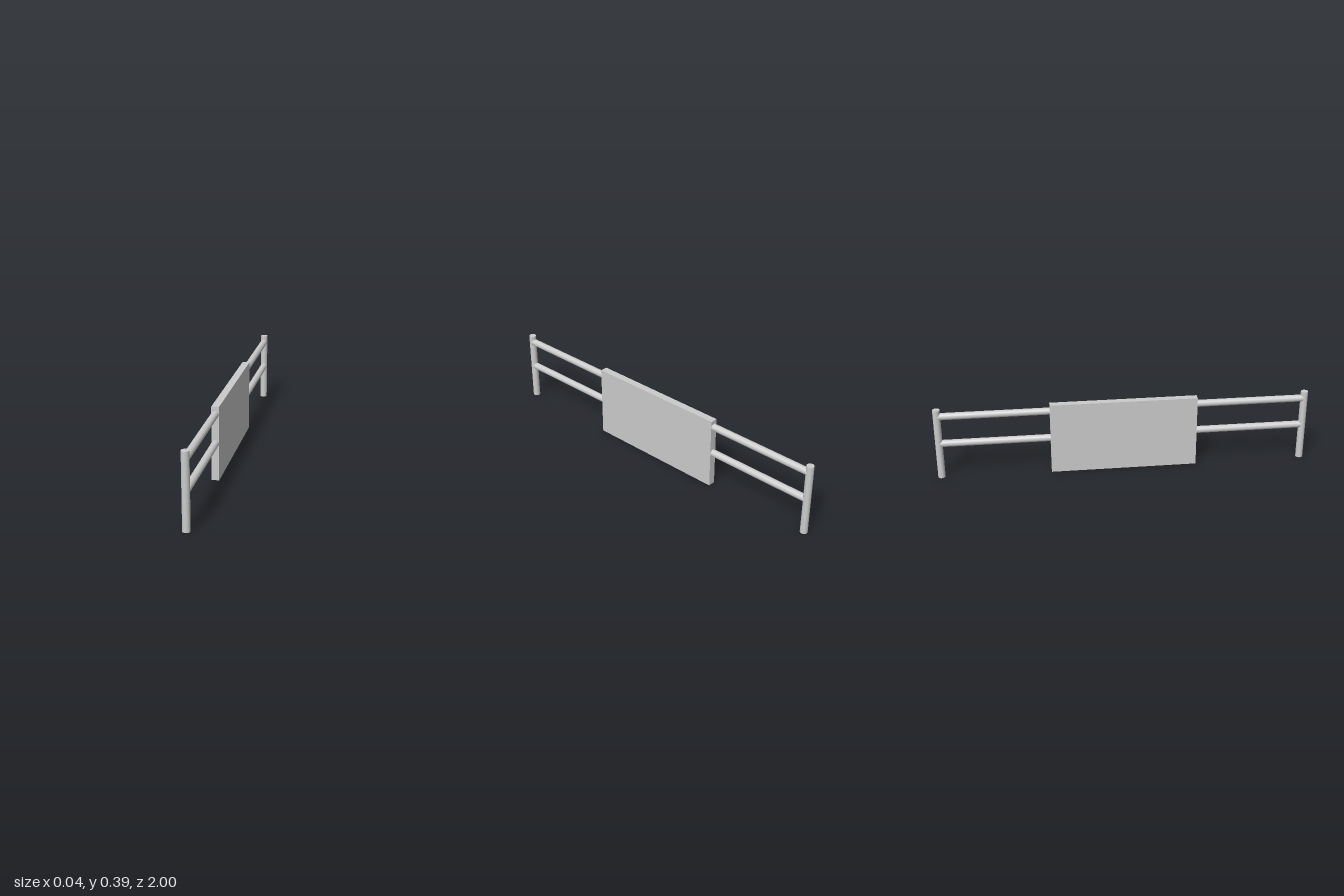
import * as THREE from 'three';

export function createModel() {
  const model = new THREE.Group();
  model.name = 'panelBarrier';
  const material = new THREE.MeshStandardMaterial({ color: 0xcccccc });

  const height = 0.393;
  const radius = 0.0196;
  const postZ = 1 - radius;
  const panelHalf = 0.393;

  const add = (name, geometry, y, z) => {
    const mesh = new THREE.Mesh(geometry, material);
    mesh.name = name;
    mesh.position.set(0, y, z);
    model.add(mesh);
  };

  // Solid centre panel
  add('panel', new THREE.BoxGeometry(radius * 2, height, panelHalf * 2), height / 2, 0);

  // Upright end posts, each joined to the panel by two rails
  const railLength = postZ - panelHalf;
  const post = new THREE.CylinderGeometry(radius, radius, height, 32);
  const rail = new THREE.CylinderGeometry(0.019, 0.019, railLength, 32).rotateX(Math.PI / 2);
  for (const [end, side] of [['front', 1], ['back', -1]]) {
    add(`${end}Post`, post, height / 2, side * postZ);
    const railZ = side * (panelHalf + railLength / 2);
    add(`${end}UpperRail`, rail, 0.354, railZ);
    add(`${end}LowerRail`, rail, 0.198, railZ);
  }
  return model;
}
